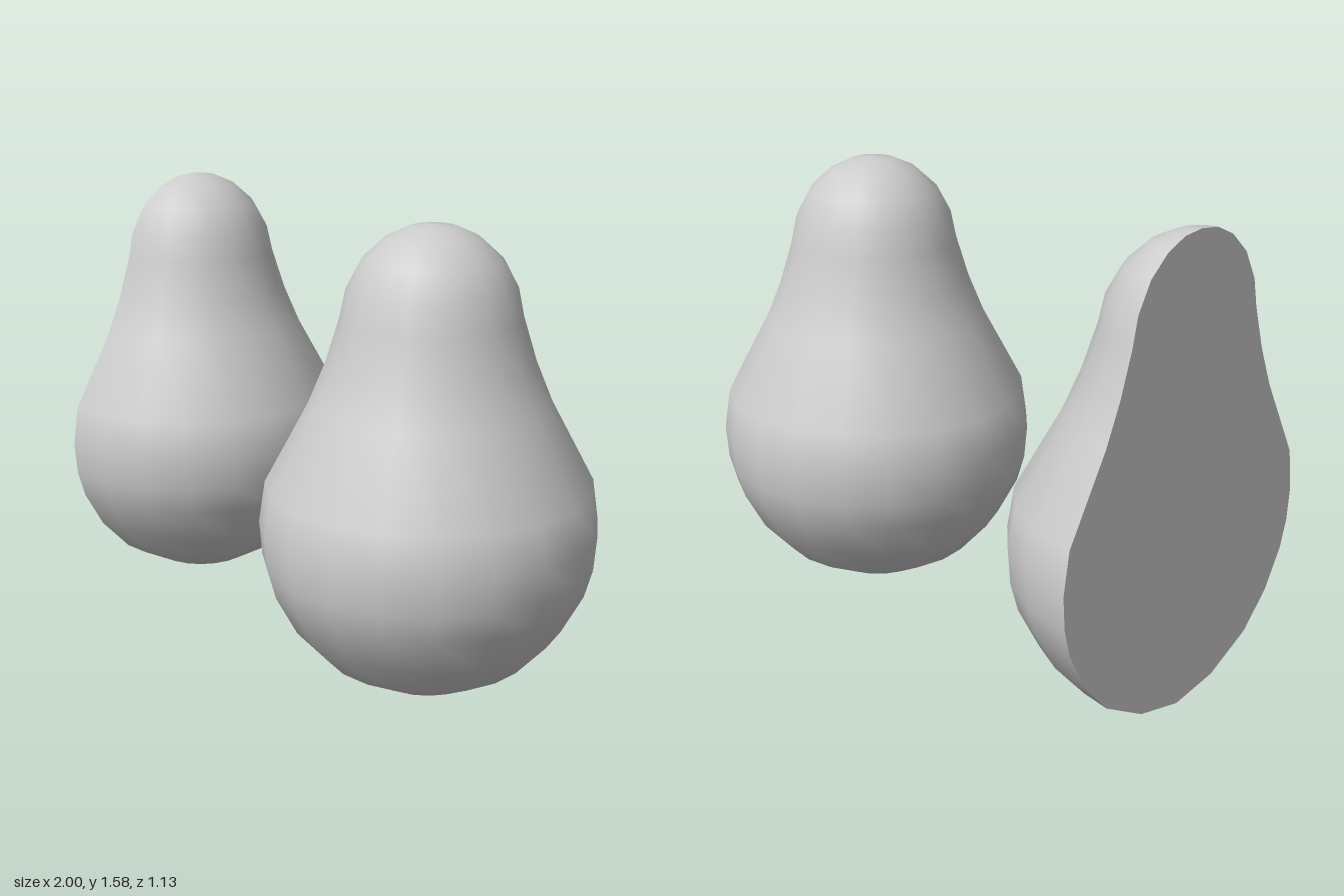
import * as THREE from 'three';

// Pear outline from base to tip: radius, height
const profile = [
  [0, 0], [0.18, 0.036], [0.352, 0.13], [0.459, 0.247], [0.53, 0.38],
  [0.556, 0.475], [0.565, 0.59], [0.544, 0.73], [0.398, 1.0], [0.342, 1.135],
  [0.297, 1.28], [0.277, 1.375], [0.226, 1.47], [0.152, 1.537], [0.077, 1.571], [0, 1.58],
].map(([r, y]) => new THREE.Vector2(r, y));

const material = new THREE.MeshStandardMaterial({ color: 0xcccccc });

function part(name, geometry) {
  const mesh = new THREE.Mesh(geometry, material);
  mesh.name = name;
  return mesh;
}

export function createModel() {
  const model = new THREE.Group();
  model.name = 'pears';

  // Whole pear
  const whole = part('wholePear', new THREE.LatheGeometry(profile, 20));
  whole.position.x = 0.443;
  whole.scale.x = 0.986;

  // Half pear: rounded side towards +x, flat cut towards -x
  const half = new THREE.Group();
  half.name = 'halfPear';
  half.position.x = -1;
  half.scale.x = 0.986;
  half.add(part('halfPearSkin', new THREE.LatheGeometry(profile, 10, 0, Math.PI)));

  // Cut face: the profile mirrored into a closed outline
  const mirrored = profile.slice(1, -1).reverse().map((p) => new THREE.Vector2(-p.x, p.y));
  const cut = new THREE.ShapeGeometry(new THREE.Shape([...profile, ...mirrored]));
  cut.rotateY(-Math.PI / 2);
  half.add(part('cutFace', cut));

  model.add(whole, half);
  return model;
}
